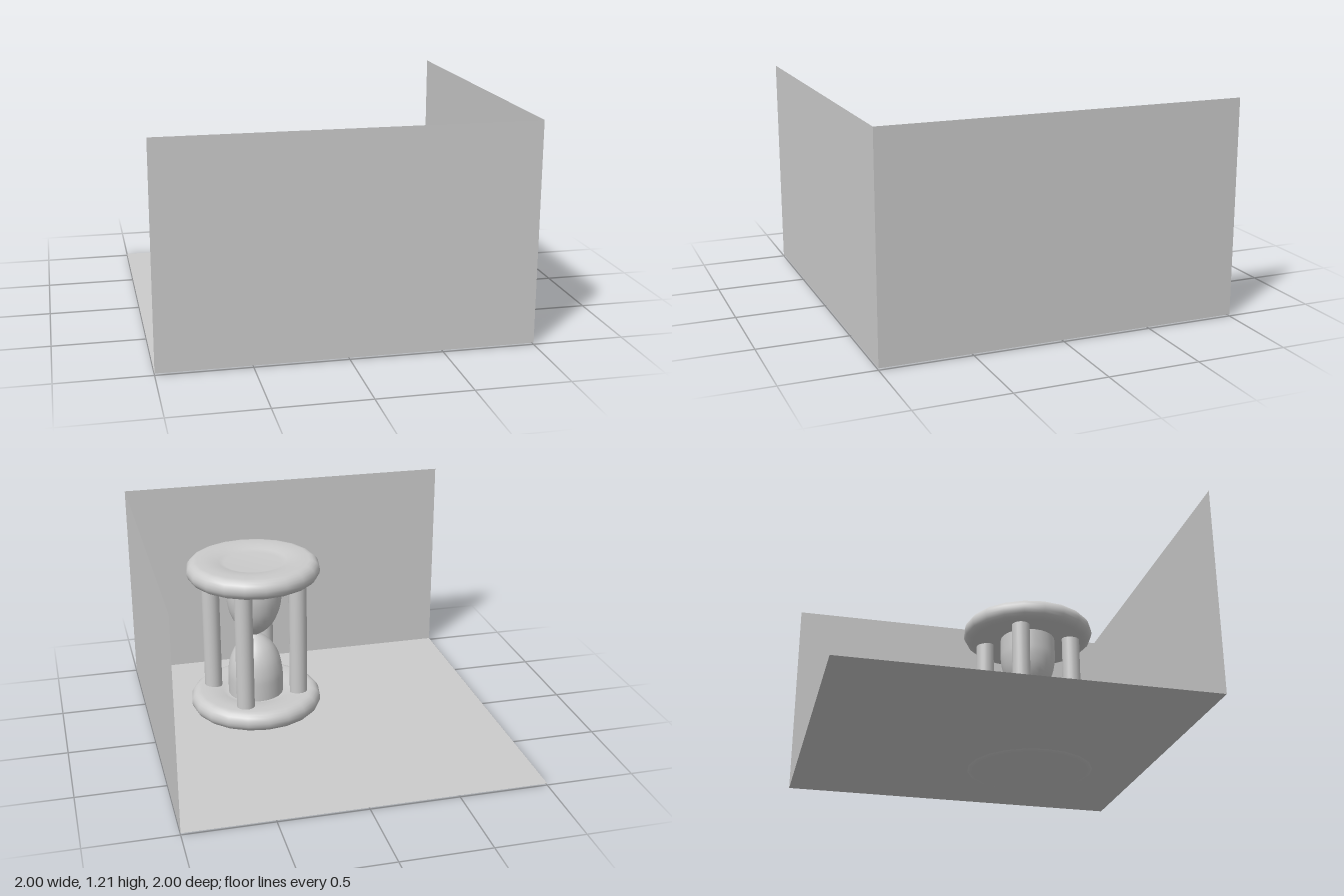
import * as THREE from 'three';

const material = new THREE.MeshStandardMaterial({ color: 0xcccccc });
const thin = new THREE.MeshStandardMaterial({ color: 0xcccccc, side: THREE.DoubleSide });

function add(parent, name, geometry, mat = material) {
  const mesh = new THREE.Mesh(geometry, mat);
  mesh.name = name;
  parent.add(mesh);
  return mesh;
}

// Round plate with a bulging rim and a shallow dish in both faces
function plateGeometry() {
  const half = [[0, 0.038], [0.17, 0.038], [0.2, 0.048], [0.25, 0.057], [0.29, 0.06]];
  const points = half.map(([r, y]) => new THREE.Vector2(r, -y));
  for (let i = 0; i <= 10; i++) {
    const a = -Math.PI / 2 + (i / 10) * Math.PI;
    points.push(new THREE.Vector2(0.334 + 0.06 * Math.cos(a), 0.06 * Math.sin(a)));
  }
  for (const [r, y] of [...half].reverse()) points.push(new THREE.Vector2(r, y));
  return new THREE.LatheGeometry(points, 20);
}

// Domed bulb narrowing to the neck; the upper one mirrors the lower
function bulbGeometry(sign) {
  const curve = new THREE.SplineCurve([
    [0.165, -0.39], [0.166, -0.3], [0.164, -0.23], [0.148, -0.15],
    [0.115, -0.08], [0.07, -0.03], [0.025, 0],
  ].map(([r, y]) => new THREE.Vector2(r, y * sign)));
  const points = curve.getPoints(20);
  if (sign < 0) points.reverse();
  return new THREE.LatheGeometry(points, 24);
}

export function createModel() {
  const model = new THREE.Group();
  model.name = 'hourglassInCorner';

  // Floor and the two walls meeting in a corner
  const floor = add(model, 'floor', new THREE.PlaneGeometry(2, 2), thin);
  floor.rotation.x = -Math.PI / 2;
  floor.position.y = 0.01;
  const frontWall = add(model, 'frontWall', new THREE.PlaneGeometry(2, 1.2), thin);
  frontWall.position.set(0, 0.61, 1);
  const sideWall = add(model, 'sideWall', new THREE.PlaneGeometry(2, 1.2), thin);
  sideWall.rotation.y = -Math.PI / 2;
  sideWall.position.set(1, 0.61, 0);

  // Hourglass, standing off-centre near the corner
  const hourglass = new THREE.Group();
  hourglass.name = 'hourglass';
  hourglass.position.set(0.34, 0, 0.34);
  model.add(hourglass);

  const plate = plateGeometry();
  add(hourglass, 'basePlate', plate).position.y = 0.06;
  add(hourglass, 'topPlate', plate).position.y = 0.89;

  add(hourglass, 'lowerBulb', bulbGeometry(1), thin).position.y = 0.475;
  add(hourglass, 'upperBulb', bulbGeometry(-1), thin).position.y = 0.475;

  // Four posts between the plates
  const post = new THREE.CylinderGeometry(0.053, 0.053, 0.77, 20);
  for (let i = 0; i < 4; i++) {
    const a = 0.42 + (i * Math.PI) / 2;
    add(hourglass, 'post', post).position.set(0.265 * Math.cos(a), 0.475, 0.265 * Math.sin(a));
  }

  return model;
}
